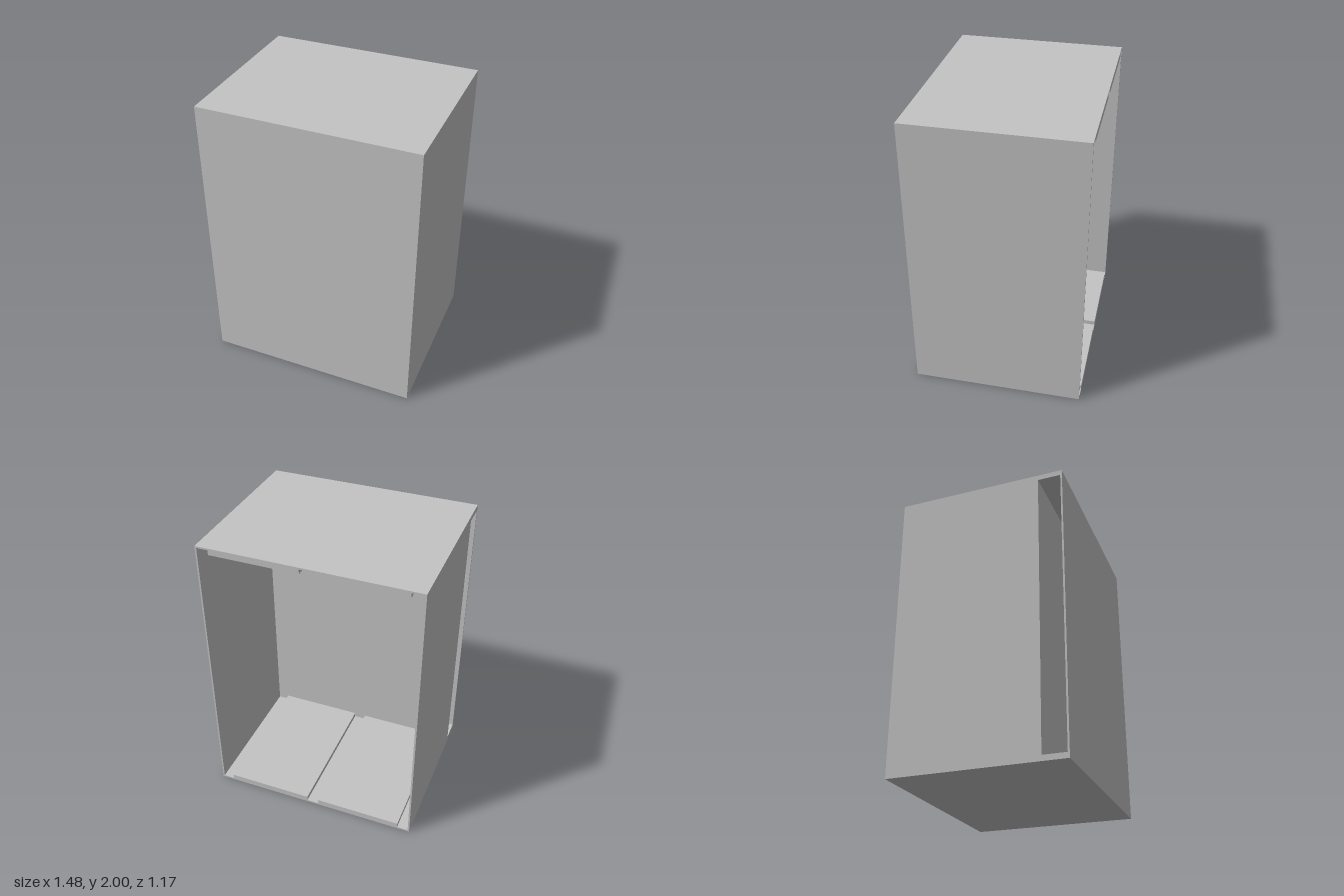
import * as THREE from 'three';

export function createModel() {
  const model = new THREE.Group();
  const grey = new THREE.MeshStandardMaterial({ color: 0xc4c4c4 });
  grey.name = 'lightGrey';

  const W = 0.74, D = 0.585, H = 2; // half width, half depth, height
  const T = 0.012;                  // sheet thickness
  const WALL = 0.405;               // inner face of the partition
  const SLAB = 0.045;               // how far the slabs reach inwards

  // Box given by its lowest and highest corners
  function box(name, [x0, y0, z0], [x1, y1, z1]) {
    const mesh = new THREE.Mesh(new THREE.BoxGeometry(x1 - x0, y1 - y0, z1 - z0), grey);
    mesh.position.set((x0 + x1) / 2, (y0 + y1) / 2, (z0 + z1) / 2);
    mesh.name = name;
    model.add(mesh);
  }

  // Outer shell, open at the back
  box('bottomPanel', [-W, 0, -D], [W, T, D]);
  box('topPanel', [-W, H - T, -D], [W, H, D]);
  box('frontPanel', [-W, T, D - T], [W, H - T, D]);
  box('leftSide', [W - T, T, -D], [W, H - T, D - T]);

  // The right side stops at the partition, leaving a narrow side slot
  box('rightSide', [-W, T, -D], [-W + T, H - T, WALL + T]);
  box('partition', [-W + T, T, WALL], [W - T, H - T, WALL + T]);

  // Sill and lintel of the front compartment
  box('slotSill', [-W, T, WALL + T], [W - T, 0.037, D - T]);
  box('slotLintel', [-W, H - 0.037, WALL + T], [W - T, H - T, D - T]);

  // Pairs of slabs on the floor and under the top
  for (const [x0, x1] of [[-0.65, -0.043], [0.043, 0.65]]) {
    box('floorSlab', [x0, T, -D], [x1, SLAB, WALL]);
    box('ceilingSlab', [x0, H - SLAB, -D], [x1, H - T, WALL]);
  }

  return model;
}
